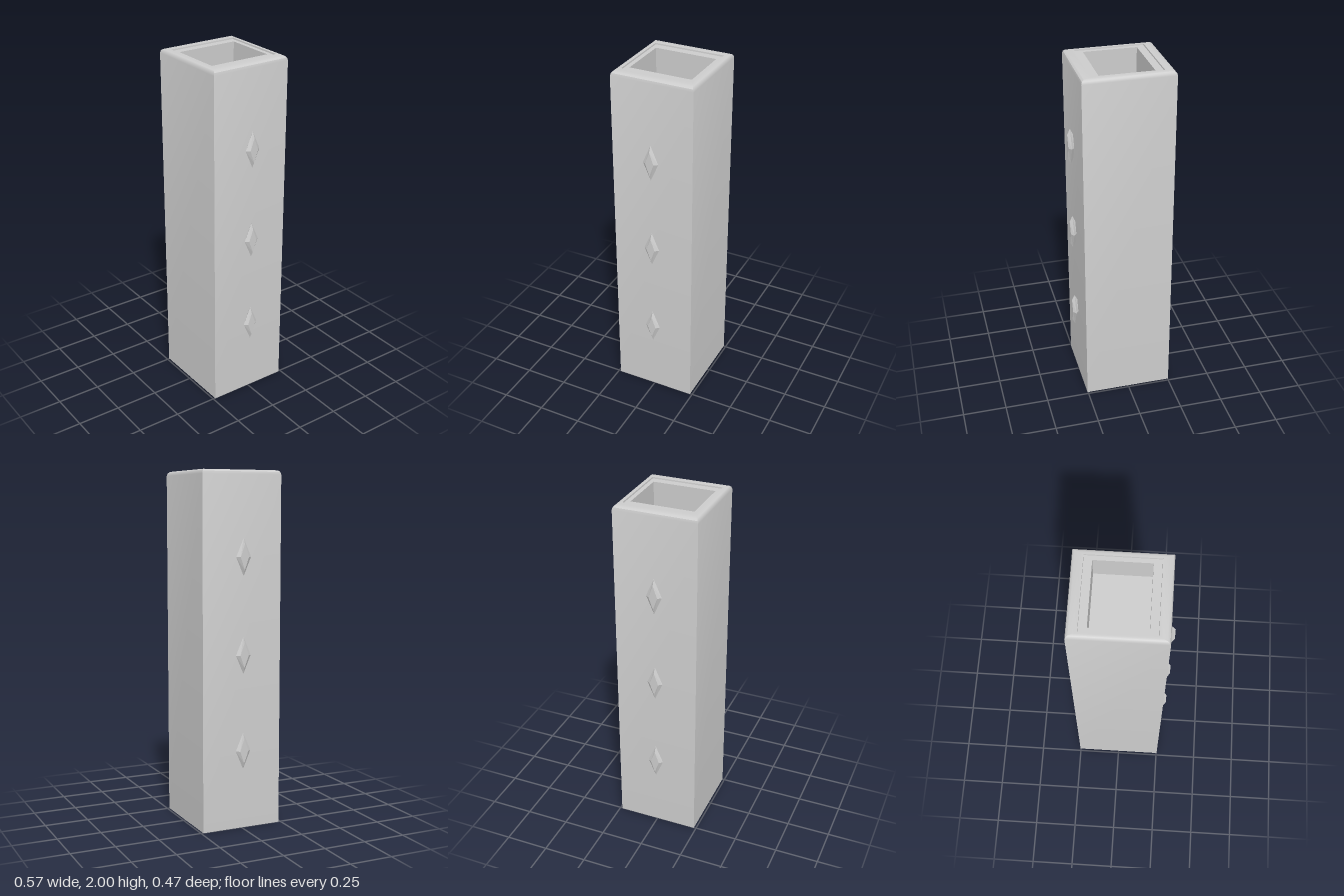
import * as THREE from 'three';
import { toCreasedNormals } from 'three/addons/utils/BufferGeometryUtils.js';

const material = new THREE.MeshStandardMaterial({ color: 0xcccccc });

// Joins four-cornered rings, each given as [halfA, halfB, height].
// corners(a, b, h) places the ring's points, counter-clockwise seen from the end of the height axis.
function loftRings(rings, corners, crease) {
  const positions = [];
  const loops = rings.map(([a, b, h]) => corners(a, b, h));
  for (let i = 0; i < loops.length - 1; i++) {
    for (let j = 0; j < 4; j++) {
      const k = (j + 1) % 4;
      const [p, q, r, s] = [loops[i][j], loops[i][k], loops[i + 1][k], loops[i + 1][j]];
      if (rings[i][0] > 0) positions.push(...p, ...q, ...r);
      if (rings[i + 1][0] > 0) positions.push(...p, ...r, ...s);
      else if (rings[i][0] === 0) continue;
    }
  }
  const geometry = new THREE.BufferGeometry();
  geometry.setAttribute('position', new THREE.Float32BufferAttribute(positions, 3));
  return toCreasedNormals(geometry, crease);
}

function addMesh(parent, name, geometry) {
  const mesh = new THREE.Mesh(geometry, material);
  mesh.name = name;
  parent.add(mesh);
  return mesh;
}

export function createModel() {
  const model = new THREE.Group();
  model.name = 'pillar';

  // Body: closed base, straight sides, soft top edge, inset panel and a roller well
  const rectangle = (a, b, h) => [[a, h, b], [a, h, -b], [-a, h, -b], [-a, h, b]];
  const bodyRings = [
    [0, 0, 0],
    [0.253, 0.237, 0],
    [0.253, 0.237, 1.975],
    [0.249, 0.233, 1.989],
    [0.238, 0.226, 1.997],
    [0.215, 0.215, 2],
    [0.194, 0.203, 2],
    [0.193, 0.202, 1.992],
    [0.15, 0.178, 1.992],
    [0.15, 0.178, 1.84],
    [0, 0, 1.84],
  ];
  addMesh(model, 'body', loftRings(bodyRings, rectangle, 0.6));

  // Half roller lying along z inside the well
  const roller = new THREE.CylinderGeometry(0.149, 0.149, 0.356, 40, 1, false, Math.PI / 2, Math.PI);
  roller.rotateX(-Math.PI / 2);
  const rollerMesh = addMesh(model, 'roller', roller);
  rollerMesh.position.y = 1.842;

  // Diamond studs: three down each side, widest halfway through their thickness
  const diamond = (a, b, h) => [[h, a, 0], [h, 0, b], [h, -a, 0], [h, 0, -b]];
  const studRings = [
    [0, 0, -0.016],
    [0.07, 0.025, -0.016],
    [0.104, 0.045, 0],
    [0.07, 0.025, 0.016],
    [0, 0, 0.016],
  ];
  const studGeometry = loftRings(studRings, diamond, 0.1);
  for (const side of [1, -1]) {
    for (const y of [0.45, 0.99, 1.53]) {
      const stud = addMesh(model, side > 0 ? 'leftStud' : 'rightStud', studGeometry);
      stud.position.set(side * 0.269, y, 0);
      stud.rotation.y = side > 0 ? 0 : Math.PI;
    }
  }

  return model;
}
